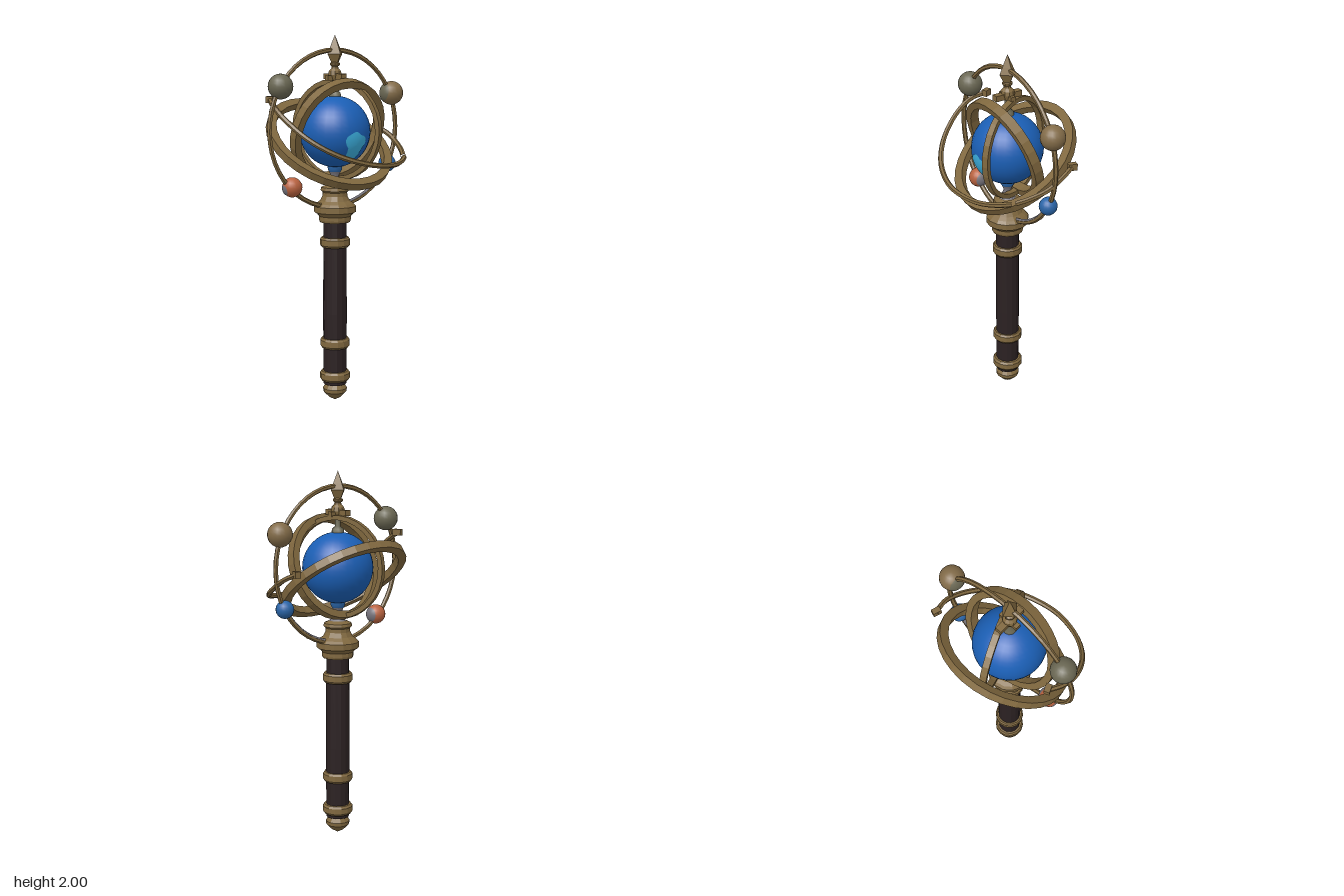
import * as THREE from 'three';

const mat = (name, color, flatShading = false) => {
  const m = new THREE.MeshStandardMaterial({ color, flatShading });
  m.name = name;
  return m;
};

export function createModel() {
  const root = new THREE.Group();
  root.name = 'orreryScepter';
  const CX = -0.01;
  const bronze = mat('bronze', 0x80683f, true);
  const wood = mat('darkWood', 0x2b2122, true);
  const blue = mat('globeBlue', 0x1b5fb5);
  const paleBlue = mat('planetBlue', 0x2a65a8);
  const cyan = mat('landCyan', 0x3cb0e0);
  const sage = mat('sageGrey', 0x6a6753);
  const tan = mat('tan', 0x826b48);
  const orange = mat('orange', 0xb8623f);
  const grey = mat('slateGrey', 0x77747c);

  const add = (name, geo, m, x = CX, y = 0, z = 0) => {
    const mesh = new THREE.Mesh(geo, m);
    mesh.name = name;
    mesh.position.set(x, y, z);
    root.add(mesh);
    return mesh;
  };
  const turned = (name, pts, m, seg = 14) =>
    add(name, new THREE.LatheGeometry(pts.map(p => new THREE.Vector2(p[0], p[1])), seg), m);
  const face = (mesh, dir) =>
    mesh.quaternion.setFromUnitVectors(new THREE.Vector3(0, 1, 0), new THREE.Vector3(...dir).normalize());

  // Handle
  turned('shaft', [[0.063, 0.1], [0.065, 0.5], [0.062, 1.02]], wood);
  turned('pommel', [[0, 0.005], [0.035, 0.025], [0.064, 0.055], [0.066, 0.075], [0.05, 0.1],
    [0.055, 0.115], [0.074, 0.12], [0.083, 0.132], [0.083, 0.162], [0.074, 0.174], [0.05, 0.176]], bronze);
  for (const y of [0.333, 0.893]) {
    turned('gripBand', [[0.055, y - 0.027], [0.073, y - 0.027], [0.081, y - 0.016],
      [0.081, y + 0.016], [0.073, y + 0.027], [0.055, y + 0.027]], bronze);
  }
  turned('headCollar', [[0.055, 1.0], [0.082, 1.003], [0.086, 1.015], [0.086, 1.035], [0.1, 1.05],
    [0.114, 1.058], [0.114, 1.09], [0.1, 1.105], [0.08, 1.12], [0.067, 1.145], [0.066, 1.165],
    [0.078, 1.175], [0.074, 1.192], [0.045, 1.205]], bronze);

  // Globe with its axle
  add('globe', new THREE.SphereGeometry(0.19, 28, 20), blue, CX, 1.49, 0);
  turned('lowerAxle', [[0.045, 1.205], [0.028, 1.23], [0.02, 1.25], [0.032, 1.275]], grey, 10);
  turned('globeCup', [[0.032, 1.275], [0.04, 1.288], [0.042, 1.31]], paleBlue, 10);
  turned('upperAxle', [[0.035, 1.67], [0.032, 1.695], [0.015, 1.71], [0.015, 1.78]], sage, 10);

  // Land patch laid over the front of the globe
  const land = new THREE.RingGeometry(0.001, 1, 22, 5);
  const p = land.attributes.position;
  for (let i = 0; i < p.count; i++) {
    const a = Math.atan2(p.getY(i), p.getX(i));
    const k = 1 + 0.14 * Math.sin(3 * a + 0.5) + 0.1 * Math.sin(5 * a);
    const x = 0.004 + p.getX(i) * 0.06 * k, y = -0.062 + p.getY(i) * 0.073 * k;
    p.setXYZ(i, x, y, Math.sqrt(0.1925 ** 2 - x * x - y * y));
  }
  land.computeVertexNormals();
  add('landPatch', land, cyan, CX, 1.49, 0);

  // Armillary bands: flat hoops turned to face a given normal
  const band = (name, center, normal, rOut, rIn, w) => {
    const h = w / 2;
    const profile = [[rOut, -h], [rOut, h], [rIn, h], [rIn, -h], [rOut, -h]];
    face(add(name, new THREE.LatheGeometry(profile.map(q => new THREE.Vector2(q[0], q[1])), 30),
      bronze, ...center), normal);
  };
  band('tiltedBand', [-0.012, 1.427, -0.045], [0, 0.8, 0.6], 0.356, 0.31, 0.042);
  band('uprightBand', [-0.005, 1.495, 0.022], [0, -0.33, 0.94], 0.288, 0.25, 0.052);
  band('meridianBand', [0.018, 1.497, -0.025], [0.93, 0, -0.37], 0.274, 0.249, 0.034);

  // Orbit hoop, with a grey inlay inside its lower left quarter
  add('orbitHoop', new THREE.TorusGeometry(0.417, 0.013, 6, 48), bronze, CX, 1.504, 0);
  const inlay = add('hoopInlay', new THREE.TorusGeometry(0.411, 0.011, 6, 10, 0.8), grey, CX, 1.504, 0);
  inlay.rotation.z = -1.4;

  // Planets, some with a cap of a second colour
  const planet = (name, x, y, r, m, caps = []) => {
    add(name, new THREE.SphereGeometry(r, 18, 12), m, x, y, 0);
    for (const [dir, angle, capMat] of caps) {
      face(add(name + 'Cap', new THREE.SphereGeometry(r + 0.0015, 16, 6, 0, Math.PI * 2, 0, angle),
        capMat, x, y, 0), dir);
    }
  };
  planet('sagePlanet', -0.357, 1.735, 0.066, sage);
  planet('tanPlanet', 0.378, 1.687, 0.065, tan, [[[-0.95, 0.1, -0.15], 0.8, sage]]);
  planet('bluePlanet', 0.35, 1.3, 0.048, paleBlue);
  planet('orangePlanet', -0.288, 1.21, 0.053, orange,
    [[[1, 0, 0], 0.8, grey], [[-0.85, -0.25, -0.1], 0.55, grey]]);

  // Open outer arc sweeping around the front, in two lengths
  const arc = (name, pts, seg) => add(name, new THREE.TubeGeometry(
    new THREE.CatmullRomCurve3(pts.map(q => new THREE.Vector3(...q))), seg, 0.014, 6), bronze, 0, 0, 0);
  arc('outerArc', [[-0.35, 1.665, -0.11], [-0.385, 1.64, -0.03], [-0.385, 1.575, 0.07],
    [-0.32, 1.47, 0.2], [-0.2, 1.39, 0.29], [-0.03, 1.34, 0.332], [0.15, 1.325, 0.3],
    [0.25, 1.335, 0.245], [0.31, 1.35, 0.195]], 40);
  arc('outerArcEnd', [[0.318, 1.352, 0.178], [0.36, 1.38, 0.11], [0.39, 1.415, 0.03],
    [0.395, 1.46, -0.05], [0.37, 1.5, -0.14]], 16);
  // Squared end pieces
  for (const [x, y, z] of [[-0.352, 1.665, -0.1], [0.374, 1.495, -0.13]]) {
    add('arcTip', new THREE.BoxGeometry(0.03, 0.034, 0.045), bronze, x, y, z).rotation.y = x < 0 ? 0.4 : -0.3;
  }

  // Top bracket and spear finial
  add('bracketAlongZ', new THREE.BoxGeometry(0.035, 0.03, 0.16), bronze, CX, 1.782, 0);
  add('bracketAlongX', new THREE.BoxGeometry(0.11, 0.026, 0.03), bronze, CX, 1.775, 0);
  turned('finialBase', [[0.03, 1.765], [0.038, 1.79], [0.034, 1.81], [0.02, 1.825], [0.018, 1.835],
    [0.027, 1.842], [0.027, 1.852], [0.015, 1.86]], bronze, 10);
  turned('finialSpear', [[0.018, 1.845], [0.048, 1.9], [0.032, 1.935], [0.015, 1.97], [0, 2.0]], bronze, 4);
  return root;
}
